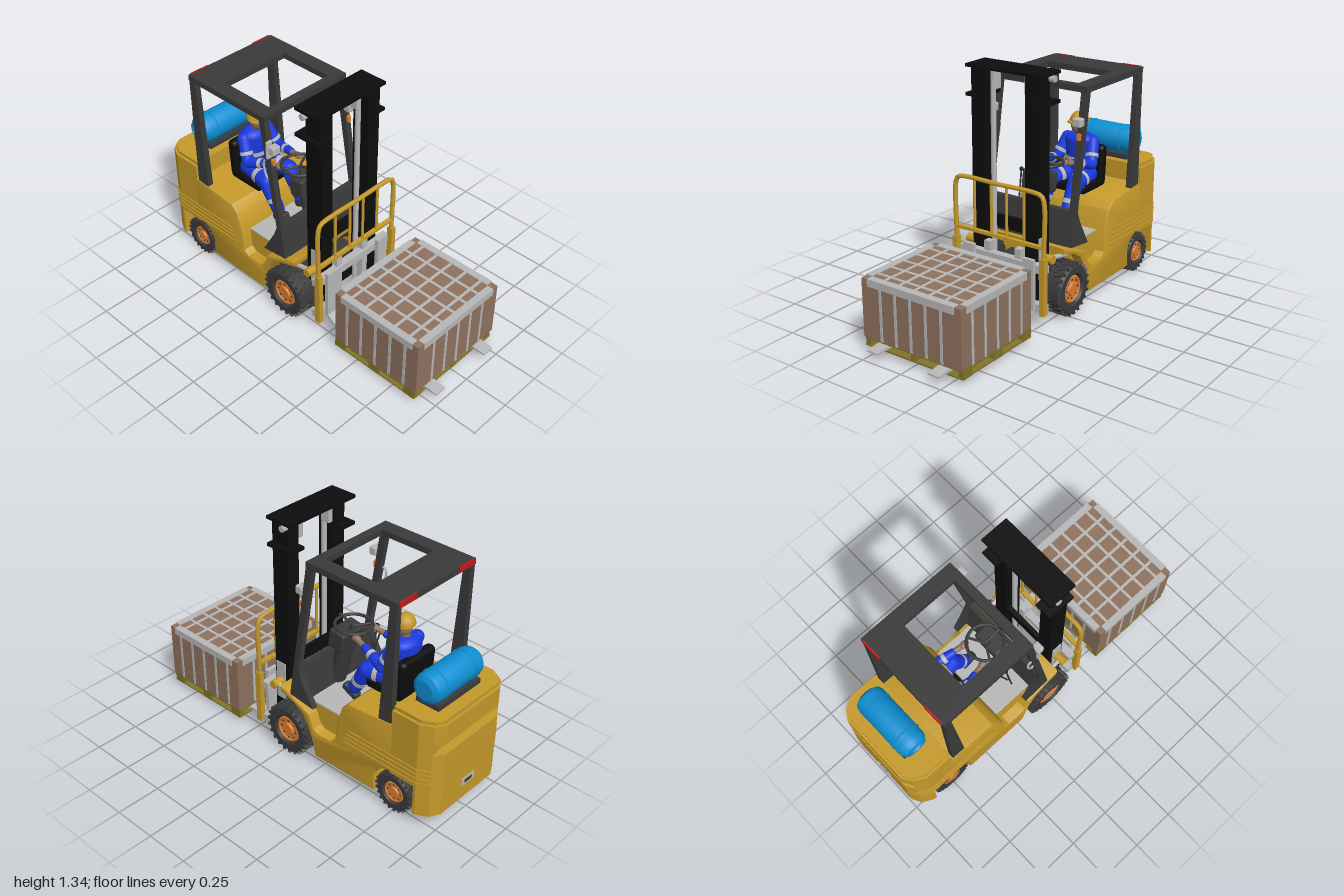
import * as THREE from 'three';
import { toCreasedNormals } from 'three/addons/utils/BufferGeometryUtils.js';
import { RoundedBoxGeometry } from 'three/addons/geometries/RoundedBoxGeometry.js';

const mat = (name, color) => Object.assign(new THREE.MeshStandardMaterial({ color }), { name });
const yellow = mat('body yellow', 0xc59a2a), black = mat('mast black', 0x0d0d0d), dark = mat('dark grey', 0x3a3a3a);
const light = mat('light grey', 0xb8b8b8), blue = mat('overall blue', 0x1a3ade), cyan = mat('tank blue', 0x0e8fd2);
const brown = mat('cardboard brown', 0x8f725e), orange = mat('hub orange', 0xdb7f33);
const olive = mat('pallet olive', 0x82742a), red = mat('lamp red', 0xc01818);
const V = (p) => new THREE.Vector3(...p);

export function createModel() {
  const root = new THREE.Group();
  root.name = 'forklift';
  let parent = root;
  const group = (name) => { parent = new THREE.Group(); parent.name = name; root.add(parent); return parent; };
  const add = (name, geo, m, p = [0, 0, 0]) => {
    const mesh = new THREE.Mesh(geo, m);
    mesh.name = name;
    mesh.position.set(...p);
    parent.add(mesh);
    return mesh;
  };
  // Box given by its minimum and maximum corners
  const box = (name, m, a, b, r = 0) => {
    const s = a.map((v, i) => b[i] - v), c = a.map((v, i) => (v + b[i]) / 2);
    return add(name, r ? new RoundedBoxGeometry(...s, 2, r) : new THREE.BoxGeometry(...s), m, c);
  };
  // Side profile (x, y) extruded from z0 to z1
  const side = (name, m, pts, z0, z1, b = 0) => {
    const shape = new THREE.Shape(pts.map((p) => new THREE.Vector2(...p)));
    const g = new THREE.ExtrudeGeometry(shape, { depth: z1 - z0 - 2 * b, bevelEnabled: b > 0, bevelSize: b, bevelThickness: b, bevelOffset: -b, bevelSegments: 2 });
    g.translate(0, 0, z0 + b);
    return add(name, toCreasedNormals(g, 0.6), m);
  };
  // Plan outline (x, z) extruded from y0 to y1
  const plan = (name, m, pts, y0, y1, hole) => {
    const shape = new THREE.Shape(pts.map((p) => new THREE.Vector2(...p)));
    if (hole) shape.holes.push(new THREE.Path(hole.map((p) => new THREE.Vector2(...p))));
    const g = new THREE.ExtrudeGeometry(shape, { depth: y1 - y0, bevelEnabled: false });
    g.rotateX(-Math.PI / 2);
    return add(name, g, m, [0, y0, 0]);
  };
  // Straight rod from a to b, radius r0 to r1
  const rod = (name, m, a, b, r0, r1 = r0, n = 14) => {
    const A = V(a), B = V(b), d = B.clone().sub(A);
    const mesh = add(name, new THREE.CylinderGeometry(r1, r0, d.length(), n), m, A.clone().add(B).multiplyScalar(0.5).toArray());
    mesh.quaternion.setFromUnitVectors(new THREE.Vector3(0, 1, 0), d.normalize());
    return mesh;
  };
  const ball = (name, m, p, r, s = [1, 1, 1]) => {
    const mesh = add(name, new THREE.SphereGeometry(r, 18, 12), m, p);
    mesh.scale.set(...s);
    return mesh;
  };
  const both = (fn) => [1, -1].forEach(fn);
  const span = (s, a, b) => (s > 0 ? [a, b] : [-b, -a]);

  // Main body with wheel arches, step wells and fenders
  group('body');
  const arch = [0, 1, 2, 3, 4].map((i) => [-0.75 + 0.135 * Math.sin(i * 0.28), 0.125 + 0.135 * Math.cos(i * 0.28)]);
  side('bodyShell', yellow, [...arch, [-0.63, 0.07], [-0.22, 0.065], [-0.19, 0.17], [-0.165, 0.23], [-0.12, 0.3], [-0.06, 0.335], [0.035, 0.365],
    [0.04, 0.4], [0, 0.395], [-0.18, 0.315], [-0.21, 0.24], [-0.24, 0.225], [-0.33, 0.225], [-0.36, 0.25], [-0.37, 0.36], [-0.405, 0.48],
    [-0.45, 0.525], [-0.75, 0.55]].reverse(), -0.3, 0.3, 0.012);
  box('floorBlock', yellow, [-0.38, 0.2, -0.24], [-0.12, 0.36, 0.24]);
  box('floorPlate', light, [-0.37, 0.36, -0.24], [-0.12, 0.368, 0.24]);
  box('chassis', dark, [-0.87, 0.09, -0.16], [0.05, 0.25, 0.16]);
  [-0.75, -0.03].forEach((x) => rod('axle', black, [x, 0.135, -0.22], [x, 0.135, 0.22], 0.035));

  // Counterweight, stacked in layers with a notch across the rear
  group('counterweight');
  const outline = (o = 0, back = -1) => [[-0.735, -0.3 - o], [-0.735, 0.3 + o], [-0.9, 0.3 + o], [-0.965, 0.265 + o], [back - o, 0.21], [back - o, -0.21], [-0.965, -0.265 - o], [-0.9, -0.3 - o]];
  plan('middleLayer', yellow, outline(), 0.25, 0.46);
  plan('notchLayer', yellow, outline(0, -0.955), 0.46, 0.54);
  plan('upperLayer', yellow, outline(), 0.54, 0.635);
  plan('topCap', yellow, outline(-0.015), 0.635, 0.655);
  const tail = [[-0.885, 0.3], [-0.9, 0.3], [-0.965, 0.265], [-0.995, 0.21], [-0.995, -0.21], [-0.965, -0.265], [-0.9, -0.3], [-0.885, -0.3]];
  plan('tail', yellow, tail.slice().reverse(), 0.075, 0.25);
  box('towHitch', light, [-1, 0.16, -0.05], [-0.98, 0.2, 0.05]);
  box('towSlot', dark, [-1.001, 0.17, -0.03], [-0.99, 0.19, 0.03]);
  for (let i = 0; i < 4; i++) {
    const y = 0.265 + i * 0.028;
    plan('rib', yellow, outline(0.005, -0.995), y, y + 0.016);
    both((s) => { const [a, b] = span(s, 0.29, 0.305); box('sideRib', yellow, [-0.74, y, a], [-0.42 - i * 0.012, y + 0.016, b]); });
  }

  // Wheels: tyre, hub, bolts and tread lugs
  const wheel = (name, x, r, z0, z1, s) => {
    const g = group(name), w = z1 - z0, h = w / 2;
    g.position.set(x, r, s * (z0 + z1) / 2);
    g.rotation.y = s > 0 ? 0 : Math.PI;
    const prof = [[0.5, -h * 0.8], [0.6, -h], [0.85, -h], [0.94, -h * 0.75], [0.95, 0], [0.94, h * 0.75], [0.85, h], [0.6, h], [0.52, h * 0.75], [0.5, -h * 0.8]]
      .map(([a, y]) => new THREE.Vector2(a * r, y));
    add('tyre', toCreasedNormals(new THREE.LatheGeometry(prof, 36).rotateX(Math.PI / 2), 0.5), dark);
    rod('hub', orange, [0, 0, -h * 0.7], [0, 0, h * 0.72], r * 0.52, r * 0.52, 28);
    add('rimRing', new THREE.TorusGeometry(r * 0.46, r * 0.05, 8, 28), orange, [0, 0, h * 0.75]);
    rod('hubCap', orange, [0, 0, h * 0.7], [0, 0, h * 0.9], r * 0.26, r * 0.22, 20);
    for (let i = 0; i < 8; i++) {
      const t = i * Math.PI / 4, c = [r * 0.36 * Math.cos(t), r * 0.36 * Math.sin(t)];
      rod('bolt', dark, [...c, h * 0.7], [...c, h * 0.8], r * 0.035, r * 0.035, 6);
    }
    for (let i = 0; i < 44; i++) {
      const t = i * Math.PI / 22, k = i % 2 ? 1 : -1;
      const lug = add('treadLug', new THREE.BoxGeometry(r * 0.1, r * 0.13, w * 0.5), dark, [r * 0.93 * Math.sin(t), r * 0.93 * Math.cos(t), k * h * 0.48]);
      lug.rotation.set(0, k * 0.4, -t, 'ZYX');
    }
  };
  both((s) => { wheel('frontWheel', -0.03, 0.15, 0.2, 0.322, s); wheel('rearWheel', -0.75, 0.118, 0.19, 0.29, s); });

  // Overhead guard, front cowl, lamps
  group('overheadGuard');
  plan('roof', dark, [[-0.735, -0.295], [-0.16, -0.295], [-0.16, 0.295], [-0.735, 0.295]], 1.195, 1.228, [[-0.54, -0.21], [-0.54, 0.21], [-0.21, 0.21], [-0.21, -0.21]]);
  both((s) => {
    const [a, b] = span(s, 0.26, 0.294);
    side('rearPost', dark, [[-0.732, 1.2], [-0.725, 0.54], [-0.645, 0.54], [-0.69, 1.2]], a, b);
    side('frontPost', dark, [[-0.2, 1.2], [-0.095, 0.56], [-0.12, 0.5], [-0.2, 0.36], [-0.035, 0.38], [-0.16, 1.2]], a, b);
    box('tailLamp', red, [-0.739, 1.2, ...span(s, 0.16, 0.28).slice(0, 1)], [-0.73, 1.23, span(s, 0.16, 0.28)[1]]);
    box('headLamp', light, [-0.135, 1.025, span(s, 0.25, 0.302)[0]], [-0.09, 1.072, span(s, 0.25, 0.302)[1]], 0.008);
    box('turnSignal', orange, [-0.135, 0.95, span(s, 0.267, 0.287)[0]], [-0.11, 0.985, span(s, 0.267, 0.287)[1]]);
  });
  box('mirror', light, [-0.14, 0.995, 0.272], [-0.125, 1.1, 0.312], 0.006);
  const handle = new THREE.CatmullRomCurve3([[-0.145, 0.96], [-0.175, 0.955], [-0.185, 0.93], [-0.165, 0.86], [-0.13, 0.85]].map((p) => V([...p, 0.285])));
  add('grabHandle', new THREE.TubeGeometry(handle, 20, 0.006, 8), light);
  side('frontCowl', dark, [[-0.1, 0.57], [-0.13, 0.36], [-0.03, 0.37], [-0.065, 0.57]], -0.262, 0.262);

  // Controls
  group('controls');
  const dash = box('dashboard', dark, [-0.215, 0.61, -0.085], [-0.11, 0.725, 0.085], 0.015);
  dash.rotation.z = 0.15;
  rod('column', dark, [-0.1, 0.37, 0], [-0.17, 0.64, 0], 0.05, 0.045);
  rod('steeringShaft', dark, [-0.17, 0.66, 0], [-0.215, 0.755, 0], 0.014);
  const steer = add('steeringWheel', new THREE.TorusGeometry(0.1, 0.009, 10, 36), dark, [-0.215, 0.758, 0]);
  steer.rotation.set(-Math.PI / 2, 0.24, 0, 'ZYX');
  steer.rotation.set(Math.PI / 2, -0.24, 0);
  [0, 2.1, 4.2].forEach((t) => {
    const x = 0.1 * Math.cos(t), z = 0.1 * Math.sin(t);
    rod('spoke', dark, [-0.215, 0.75, 0], [-0.215 + x * 0.97, 0.758 + x * 0.24, z], 0.007);
  });
  [0.14, 0.17].forEach((z, i) => {
    rod('lever', dark, [-0.19, 0.37, z], [-0.28 + i * 0.05, 0.68, z], 0.005);
    ball('leverKnob', black, [-0.28 + i * 0.05, 0.68, z], 0.012);
  });

  // Seat
  group('seat');
  box('seatBase', black, [-0.64, 0.53, -0.13], [-0.41, 0.585, 0.13], 0.02);
  box('seatBack', black, [-0.655, 0.54, -0.13], [-0.595, 0.77, 0.13], 0.025).rotation.z = 0.06;

  // Seated operator
  group('operator');
  ball('hips', blue, [-0.565, 0.61, 0], 0.08, [0.85, 0.7, 1.1]);
  const torso = rod('torso', blue, [-0.57, 0.59, 0], [-0.565, 0.81, 0], 0.075, 0.09, 20);
  torso.scale.set(0.8, 1, 1.05);
  rod('chestBand', light, [-0.568, 0.685, 0], [-0.567, 0.71, 0], 0.086, 0.087, 20).scale.set(0.8, 1, 1.05);
  ball('shoulders', blue, [-0.565, 0.805, 0], 0.09, [0.75, 0.5, 1.08]);
  rod('neck', brown, [-0.56, 0.82, 0], [-0.552, 0.87, 0], 0.028);
  ball('head', brown, [-0.545, 0.895, 0], 0.05, [0.95, 1.15, 0.85]);
  ball('nose', brown, [-0.495, 0.892, 0], 0.011);
  add('helmet', new THREE.SphereGeometry(0.054, 20, 8, 0, Math.PI * 2, 0, Math.PI / 2), yellow, [-0.553, 0.915, 0]);
  rod('helmetBrim', yellow, [-0.54, 0.908, 0], [-0.54, 0.917, 0], 0.058, 0.056, 20).scale.x = 1.1;
  const limb = (name, pts, r) => {
    for (let i = 0; i < pts.length - 1; i++) {
      const at = (t) => V(pts[i]).lerp(V(pts[i + 1]), t).toArray(), d = r[i + 1] - r[i];
      rod(name, blue, pts[i], pts[i + 1], r[i], r[i + 1]);
      ball(name + 'Joint', blue, pts[i + 1], r[i + 1]);
      rod(name + 'Band', light, at(0.55), at(0.7), r[i] + d * 0.55 + 0.003, r[i] + d * 0.7 + 0.003);
    }
    ball(name + 'Top', blue, pts[0], r[0]);
  };
  both((s) => {
    limb('arm', [[-0.565, 0.8, s * 0.085], [-0.505, 0.69, s * 0.115], [-0.37, 0.725, s * 0.085]], [0.037, 0.033, 0.022]);
    rod('forearm', brown, [-0.375, 0.724, s * 0.085], [-0.31, 0.738, s * 0.075], 0.017, 0.015);
    ball('hand', brown, [-0.3, 0.742, s * 0.072], 0.022, [1.3, 0.8, 0.9]);
    limb('leg', [[-0.56, 0.605, s * 0.055], [-0.39, 0.6, s * 0.085], [-0.305, 0.45, s * 0.085]], [0.056, 0.047, 0.036]);
    box('boot', dark, [-0.335, 0.395, s * 0.085 - 0.025], [-0.23, 0.44, s * 0.085 + 0.025], 0.015).rotation.z = 0.45;
  });

  // Gas tank lying across the counterweight
  group('gasTank');
  const tank = [[0, -0.21], [0.05, -0.21], [0.076, -0.195], [0.083, -0.17], [0.083, 0.13], [0.076, 0.155], [0.06, 0.175], [0.05, 0.175], [0.045, 0.16], [0, 0.16]];
  add('tank', toCreasedNormals(new THREE.LatheGeometry(tank.map((p) => new THREE.Vector2(...p)), 28).rotateX(Math.PI / 2), 0.5), cyan, [-0.85, 0.757, 0]);
  [-0.13, 0.09].forEach((z) => add('strap', new THREE.TorusGeometry(0.083, 0.004, 6, 28), cyan, [-0.85, 0.757, z]));
  box('tankCradle', dark, [-0.92, 0.655, -0.18], [-0.78, 0.682, 0.15]);

  // Mast: channels, top plates, lift cylinders, tilt pivots
  group('mast');
  box('topPlate', black, [0, 1.325, -0.24], [0.165, 1.342, 0.24]);
  [0.09, 0.45].forEach((y) => box('crossMember', black, [0.06, y, -0.2], [0.085, y + 0.07, 0.2]));
  both((s) => {
    const [a, b] = span(s, 0.13, 0.21), [c, d] = span(s, 0.14, 0.24), [e, f] = span(s, 0.205, 0.215);
    box('channelWeb', black, [0.05, 0.06, a], [0.155, 1.33, b]);
    box('midPlate', black, [0, 1.172, c], [0.165, 1.19, d]);
    box('slidePlate', light, [0.08, 0.24, e], [0.145, 0.47, f]);
    rod('liftCylinder', light, [0.1, 0.08, s * 0.11], [0.1, 1.27, s * 0.11], 0.015);
    box('cylinderHead', light, [0.05, 1.21, s * 0.108 - 0.015], [0.11, 1.32, s * 0.108 + 0.015], 0.006);
    rod('topRoller', light, [0.055, 1.305, s * 0.215], [0.055, 1.305, s * 0.245], 0.018);
    rod('tiltRod', light, [-0.1, 0.32, s * 0.25], [0.1, 0.357, s * 0.25], 0.013);
    rod('tiltPivot', yellow, [0.11, 0.358, s * 0.2], [0.11, 0.358, s * 0.28], 0.024);
  });

  // Carriage, load backrest and forks
  group('carriage');
  [0.08, 0.3].forEach((y) => box('carriageBar', light, [0.15, y, -0.28], [0.195, y + 0.045, 0.28]));
  both((s) => box('carriageUpright', light, [0.14, 0.08, s * 0.1 - 0.02], [0.18, 0.4, s * 0.1 + 0.02]));
  const frame = new THREE.CatmullRomCurve3([[0.08, -0.285], [0.4, -0.285], [0.7, -0.285], [0.735, -0.27], [0.745, -0.235], [0.745, 0], [0.745, 0.235], [0.735, 0.27], [0.7, 0.285], [0.4, 0.285], [0.08, 0.285]]
    .map(([y, z]) => V([0.205, y, z])), false, 'centripetal');
  add('backrestFrame', new THREE.TubeGeometry(frame, 80, 0.013, 8), yellow);
  box('backrestRail', yellow, [0.193, 0.448, -0.28], [0.217, 0.465, 0.28]);
  [-0.16, -0.05, 0.05, 0.16].forEach((z) => rod('backrestBar', yellow, [0.205, 0.455, z], [0.205, 0.745, z], 0.008));
  both((s) => {
    const [a, b] = span(s, 0.16, 0.23), [c, d] = span(s, 0.27, 0.3);
    box('backrestFoot', yellow, [0.19, 0.08, c], [0.225, 0.4, d]);
    side('fork', light, [[0.2, 0.38], [0.2, 0.085], [0.255, 0.045], [0.985, 0.045], [0.985, 0.053], [0.9, 0.062], [0.265, 0.062], [0.222, 0.095], [0.222, 0.38]], a, b);
  });

  // Pallet
  group('pallet');
  [0.355, 0.467, 0.579, 0.691, 0.803].forEach((x) => box('deckBoard', olive, [x, 0.066, -0.312], [x + 0.105, 0.078, 0.312]));
  [0.355, 0.595, 0.835].forEach((x) => {
    box('bottomBoard', olive, [x, 0.024, -0.312], [x + 0.07, 0.034, 0.312]);
    [-0.312, -0.015, 0.282].forEach((z) => box('block', olive, [x, 0.034, z], [x + 0.07, 0.066, z + 0.03]));
  });
  [-0.312, -0.035, 0.242].forEach((z) => box('runner', olive, [0.355, 0.026, z], [0.908, 0.034, z + 0.07]));

  // Cardboard load with straps and edge protectors
  group('load');
  const x0 = 0.357, x1 = 0.916, zw = 0.313, top = 0.397, t = 0.003;
  box('carton', brown, [x0, 0.078, -zw], [x1, top, zw]);
  [0.44, 0.538, 0.636, 0.734, 0.832].forEach((x) => box('strapAcross', light, [x - 0.008, 0.079, -zw - t], [x + 0.008, top + t, zw + t]));
  [-0.192, -0.096, 0, 0.096, 0.192].forEach((z) => box('strapAlong', light, [x0 - t, 0.079, z - 0.008], [x1 + t, top + t, z + 0.008]));
  both((s) => {
    const [a, b] = span(s, zw - 0.035, zw + 0.005);
    box('longEdgeProtector', light, [x0 + 0.04, top - 0.035, a], [x1 - 0.04, top + 0.005, b]);
    const e = s > 0 ? x1 - 0.035 : x0 - 0.005;
    box('shortEdgeProtector', light, [e, top - 0.035, -zw + 0.04], [e + 0.04, top + 0.005, zw - 0.04]);
  });
  return root;
}
